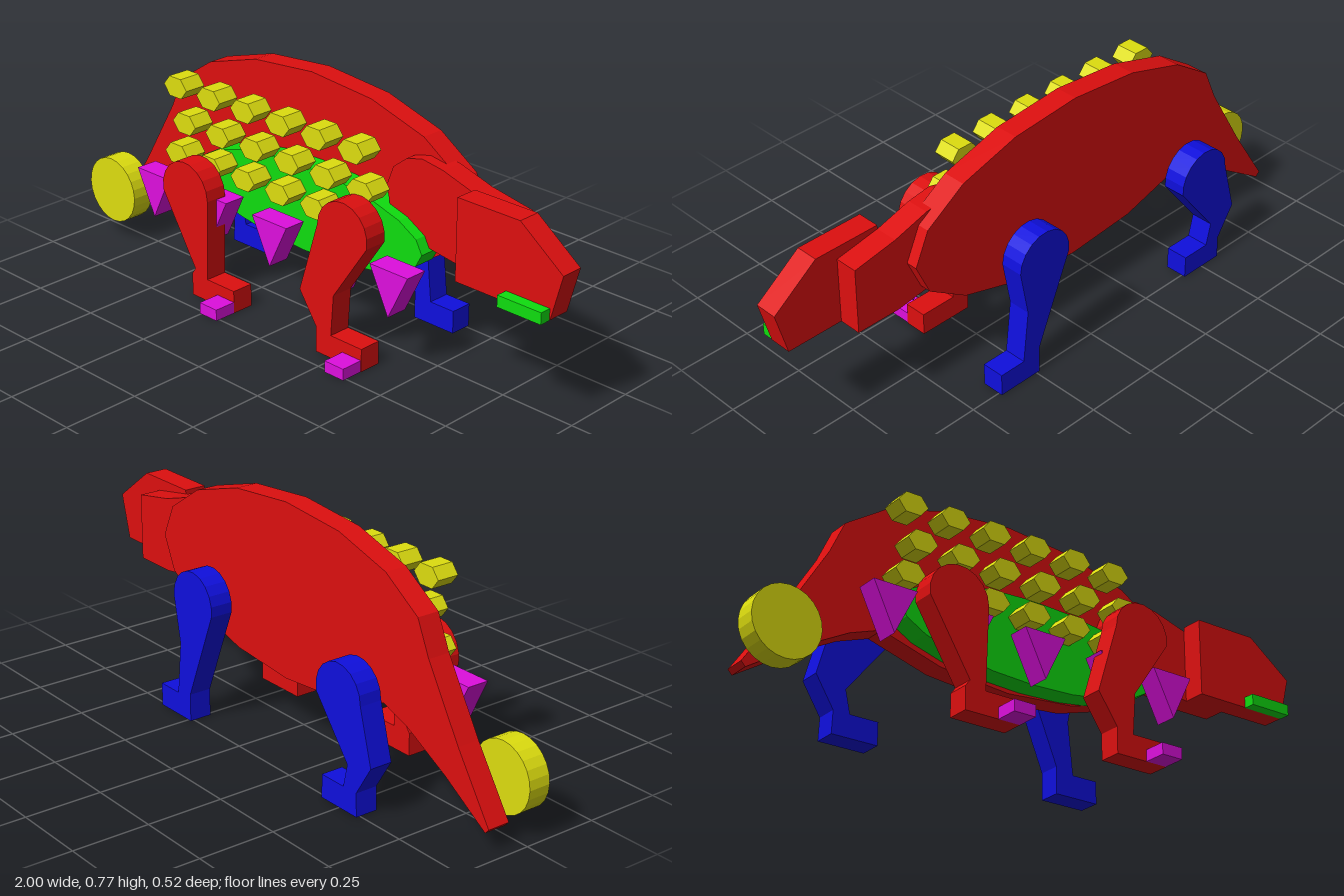
import * as THREE from 'three';

const T = 0.075; // thickness of every layer

const mat = (name, color) => {
  const m = new THREE.MeshStandardMaterial({ color });
  m.name = name;
  return m;
};

// points of an elliptical arc, angles in degrees
function arc(cx, cy, rx, ry, from, to, n) {
  return Array.from({ length: n + 1 }, (_, i) => {
    const a = THREE.MathUtils.degToRad(from + ((to - from) * i) / n);
    return [cx + rx * Math.cos(a), cy + ry * Math.sin(a)];
  });
}

export function createModel() {
  const group = new THREE.Group();
  const red = mat('red', 0xdd0f0f);
  const green = mat('green', 0x0fdd0f);
  const blue = mat('blue', 0x0f0fdd);
  const yellow = mat('yellow', 0xdddd0f);
  const magenta = mat('magenta', 0xdd0fdd);

  // flat cut-out of an outline, from z0 forwards
  function slab(name, points, z0, material, depth = T) {
    const shape = new THREE.Shape(points.map(([x, y]) => new THREE.Vector2(x, y)));
    const geo = new THREE.ExtrudeGeometry(shape, { depth, bevelEnabled: false });
    const mesh = new THREE.Mesh(geo, material);
    mesh.name = name;
    mesh.position.z = z0;
    group.add(mesh);
  }
  const rect = (x0, x1, y0, y1) => [[x0, y0], [x1, y0], [x1, y1], [x0, y1]];

  // domed body running down into a tapering tail
  slab('bodyAndTail', [
    ...arc(-0.06, 0.49, 0.64, 0.282, -135, 180, 14),
    [-0.83, 0.272], [-0.962, 0.072], [-0.948, 0.057], [-0.78, 0.165], [-0.62, 0.252],
  ], -0.1125, red);

  // belly
  slab('belly', arc(-0.02, 0.36, 0.48, 0.14, 0, 360, 20).slice(1), -0.0375, green);

  // neck with a rounded shoulder end
  slab('neck', [
    [0.77, 0.345], [0.77, 0.565], [0.62, 0.592], [0.5, 0.628], [0.42, 0.64], [0.36, 0.624],
    [0.31, 0.585], [0.285, 0.52], [0.3, 0.455], [0.36, 0.405], [0.46, 0.368], [0.62, 0.345],
  ], -0.075, red);

  // head and lower jaw
  slab('head', [[0.62, 0.345], [0.962, 0.345], [1, 0.49], [0.845, 0.605], [0.62, 0.605]], 0, red);
  slab('jaw', rect(0.805, 0.96, 0.343, 0.38), T, green, 0.0375);

  // tail club
  slab('tailClub', arc(-0.888, 0.17, 0.112, 0.112, 0, 360, 24).slice(1), 0, yellow);

  // back legs bend forwards, front legs bend back; the far pair is blue
  slab('rightHindLeg', [
    ...arc(-0.395, 0.343, 0.103, 0.103, 190, 0, 10),
    [-0.3, 0.075], [-0.18, 0.075], [-0.18, 0], [-0.37, 0], [-0.37, 0.075], [-0.355, 0.095],
  ], 0.1125, red);
  slab('rightForeLeg', [
    ...arc(0.283, 0.42, 0.1, 0.1, 180, -10, 10),
    [0.25, 0.21], [0.24, 0.075], [0.365, 0.075], [0.365, 0], [0.178, 0], [0.178, 0.085], [0.11, 0.185],
  ], 0.1125, red);
  slab('leftForeLeg', [
    ...arc(0.215, 0.405, 0.1, 0.1, 190, 0, 10),
    [0.285, 0.25], [0.303, 0.075], [0.395, 0.075], [0.395, 0], [0.238, 0], [0.238, 0.09],
  ], -0.2625, blue);
  slab('leftHindLeg', [
    ...arc(-0.49, 0.348, 0.1, 0.1, 180, -10, 10),
    [-0.535, 0.15], [-0.518, 0.075], [-0.42, 0.075], [-0.42, 0], [-0.578, 0], [-0.575, 0.075], [-0.638, 0.175],
  ], -0.2625, blue);

  // toes
  for (const x of [-0.255, 0.288]) slab('toe', rect(x, x + T, 0, 0.0375), 0.1875, magenta);

  // side spikes pointing down
  for (const x of [-0.588, -0.322, -0.058, 0.225, 0.433])
    slab('sideSpike', [[x - 0.074, 0.34], [x, 0.19], [x + 0.074, 0.34]], 0.075, magenta);

  // three rows of hexagonal armour plates
  [[-0.512, 0.643], [-0.475, 0.53], [-0.515, 0.418]].forEach(([x0, y]) => {
    for (let i = 0; i < 6; i++)
      slab('armourPlate', arc(x0 + i * 0.151, y, 0.052, 0.0375, 0, 300, 5), 0.0375, yellow);
  });

  return group;
}
